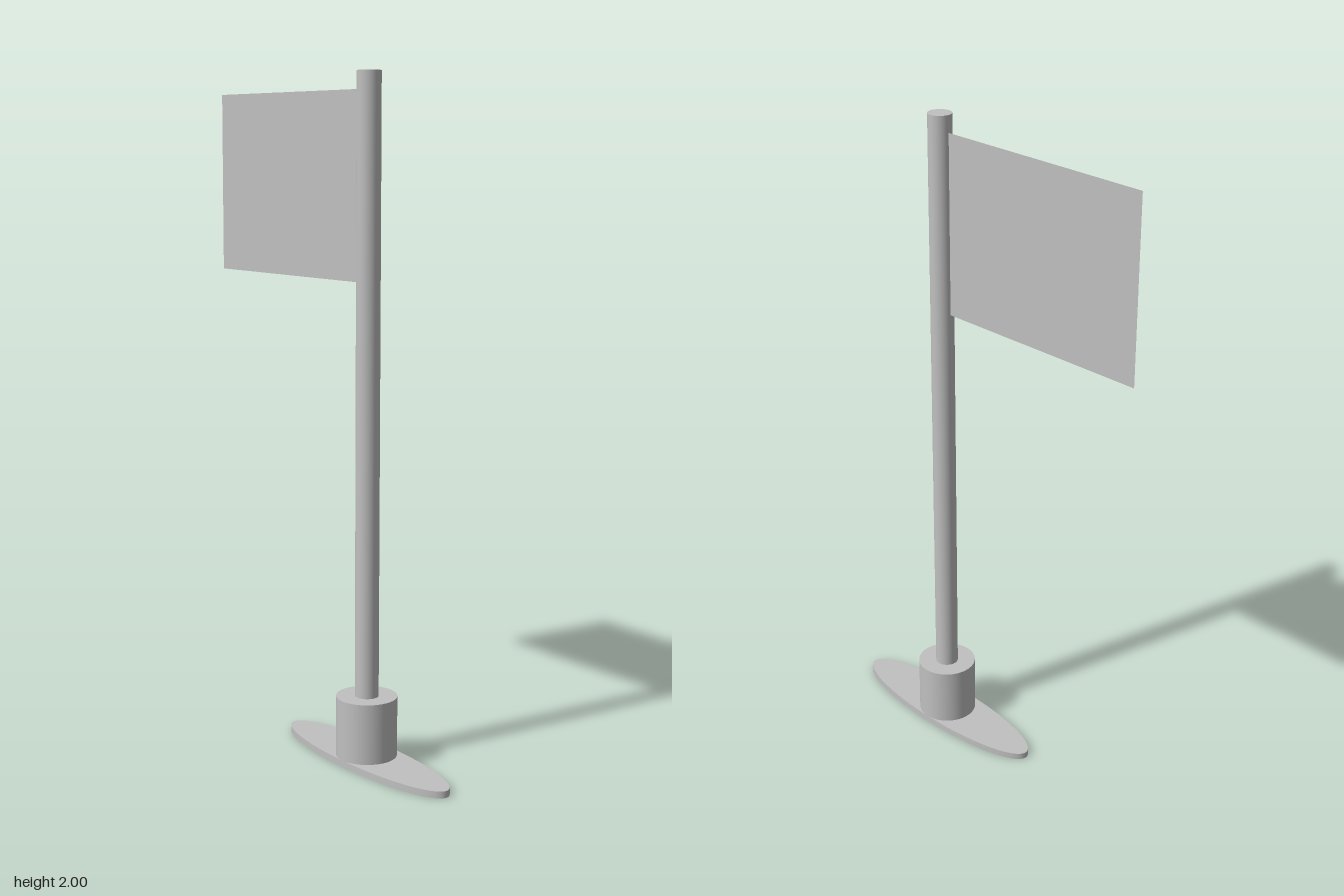
import * as THREE from 'three';

export function createModel() {
  const model = new THREE.Group();
  model.name = 'flagOnStand';

  const grey = new THREE.MeshStandardMaterial({ color: 0xc0c0c0 });
  grey.name = 'grey';
  const greySheet = grey.clone(); // same grey, seen from both sides
  greySheet.name = 'grey sheet';
  greySheet.side = THREE.DoubleSide;

  const axisZ = 0.19; // every upright part shares this axis

  function addCylinder(name, radius, bottom, top) {
    const geometry = new THREE.CylinderGeometry(radius, radius, top - bottom, 64);
    const mesh = new THREE.Mesh(geometry, grey);
    mesh.name = name;
    mesh.position.set(0, (bottom + top) / 2, axisZ);
    model.add(mesh);
    return mesh;
  }

  // Flat oval foot, stretched front to back
  addCylinder('base', 0.09, 0, 0.02).geometry.scale(1, 1, 4);

  // Socket and pole
  addCylinder('socket', 0.09, 0.01, 0.2);
  addCylinder('pole', 0.035, 0.19, 2);

  // Flag: a flat sheet trailing to the back
  const front = 0.16, back = -0.55, low = 1.41, high = 1.95;
  const flag = new THREE.Mesh(new THREE.PlaneGeometry(front - back, high - low), greySheet);
  flag.name = 'flag';
  flag.rotation.y = Math.PI / 2;
  flag.position.set(0, (low + high) / 2, (front + back) / 2);
  model.add(flag);

  return model;
}
